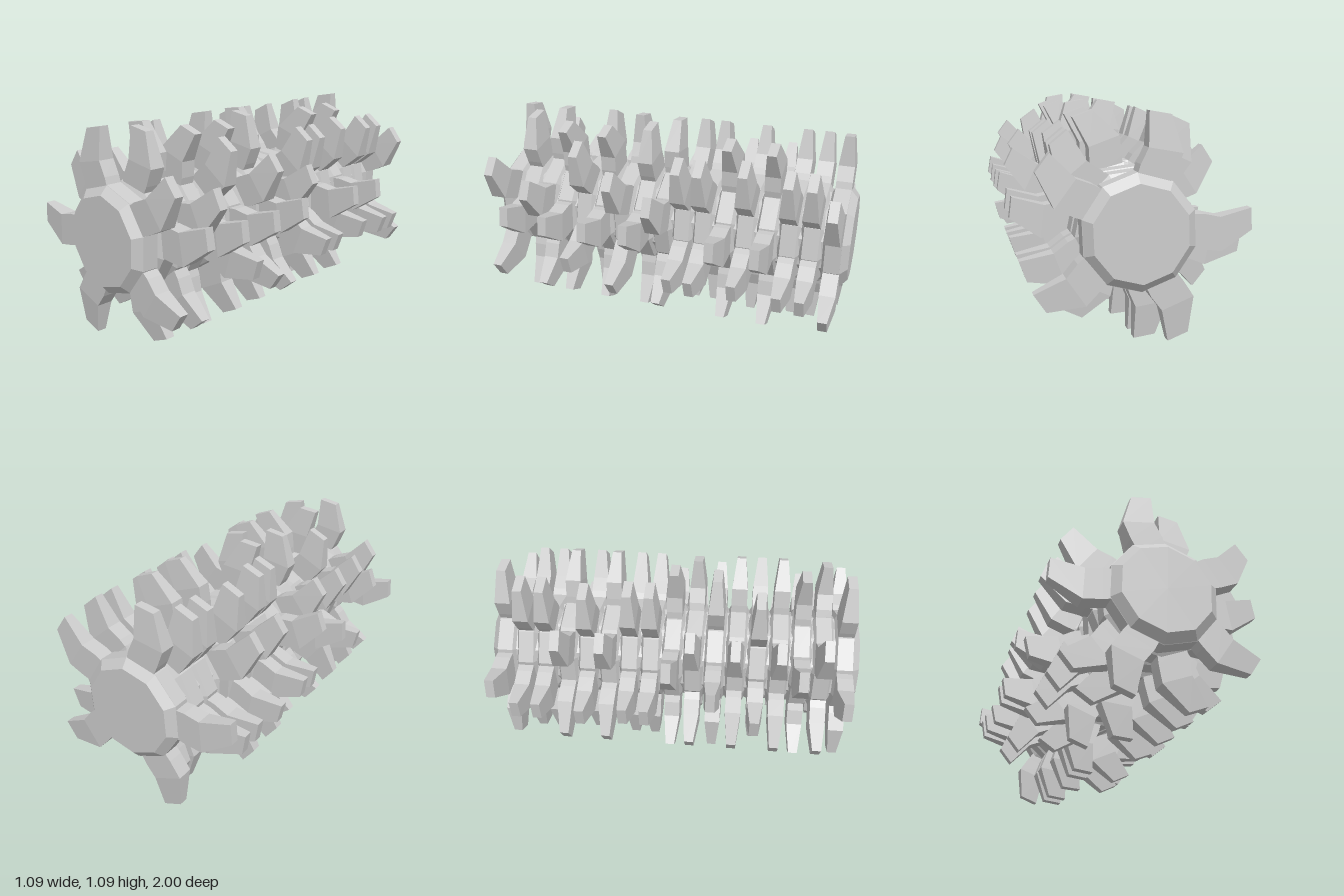
import * as THREE from 'three';

const RAD = Math.PI / 180;
const material = new THREE.MeshStandardMaterial({ color: 0xcccccc, flatShading: true });

// Ten-sided solid of revolution along z from [radius, z] pairs
function turned(profile) {
  const points = profile.map(([r, z]) => new THREE.Vector2(r, z));
  return new THREE.LatheGeometry(points, 10).rotateX(Math.PI / 2);
}

// Tooth cross-sections from root to tip: radius and angle (degrees) of the
// hollow side and the shoulder side, then half thickness
const SECTIONS = [
  [0.24, -15, 0.24, 22, 0.042],
  [0.31, -10, 0.31, 21, 0.042],
  [0.385, -4.5, 0.405, 19, 0.042],
  [0.545, -5.5, 0.545, 5.5, 0.024],
];

// lean = 1 puts the shoulder on the counterclockwise side, -1 on the other
function toothGeometry(lean) {
  const rings = SECTIONS.map(([r1, a1, r2, a2, t]) => {
    const at = (r, a, z) => [r * Math.cos(a * lean * RAD), r * Math.sin(a * lean * RAD), z];
    const ring = [at(r1, a1, -t), at(r2, a2, -t), at(r2, a2, t), at(r1, a1, t)];
    return lean > 0 ? ring : [ring[1], ring[0], ring[3], ring[2]];
  });
  const pos = [];
  const quad = (a, b, c, d) => pos.push(...a, ...b, ...c, ...a, ...c, ...d);
  for (let i = 0; i < rings.length - 1; i++) {
    for (let j = 0; j < 4; j++) {
      const k = (j + 1) % 4;
      quad(rings[i][j], rings[i][k], rings[i + 1][k], rings[i + 1][j]);
    }
  }
  const tip = rings[rings.length - 1];
  quad(tip[0], tip[1], tip[2], tip[3]);
  const root = rings[0];
  quad(root[3], root[2], root[1], root[0]);
  const geometry = new THREE.BufferGeometry();
  geometry.setAttribute('position', new THREE.Float32BufferAttribute(pos, 3));
  geometry.computeVertexNormals();
  return geometry;
}

// Angle of each tooth on a disc and the way it leans
const TEETH = [[37, -1], [100, 1], [176, 1], [249, -1], [326, -1]];

// Turn of each disc, front to back
const TURNS = [0, 43, 60, -30, 17, -30, 0, 43, 60, 14, 14, -30, 17, -30, 14, 14, 0];

export function createModel() {
  const model = new THREE.Group();
  model.name = 'toothedRoller';
  const roller = new THREE.Group();
  roller.name = 'roller';
  roller.position.y = 0.5425;
  model.add(roller);

  // Shaft with bevelled ends
  const shaft = new THREE.Mesh(turned([
    [0, -1], [0.23, -1], [0.273, -0.963], [0.25, -0.93],
    [0.25, 0.93], [0.273, 0.963], [0.23, 1], [0, 1],
  ]), material);
  shaft.name = 'shaft';
  shaft.rotation.z = -2.7 * RAD;
  roller.add(shaft);

  // Toothed discs
  const hubGeometry = turned([[0.245, -0.057], [0.275, -0.041], [0.275, 0.041], [0.245, 0.057]]);
  const toothGeometries = { '1': toothGeometry(1), '-1': toothGeometry(-1) };
  TURNS.forEach((turn, i) => {
    const disc = new THREE.Group();
    disc.name = `disc${i + 1}`;
    disc.position.z = 0.921 - i * 0.1151;
    disc.rotation.z = turn * RAD;

    const hub = new THREE.Mesh(hubGeometry, material);
    hub.name = 'hub';
    hub.rotation.z = -2.7 * RAD;
    disc.add(hub);

    for (const [angle, lean] of TEETH) {
      const tooth = new THREE.Mesh(toothGeometries[lean], material);
      tooth.name = 'tooth';
      tooth.rotation.z = angle * RAD;
      disc.add(tooth);
    }
    roller.add(disc);
  });
  return model;
}
